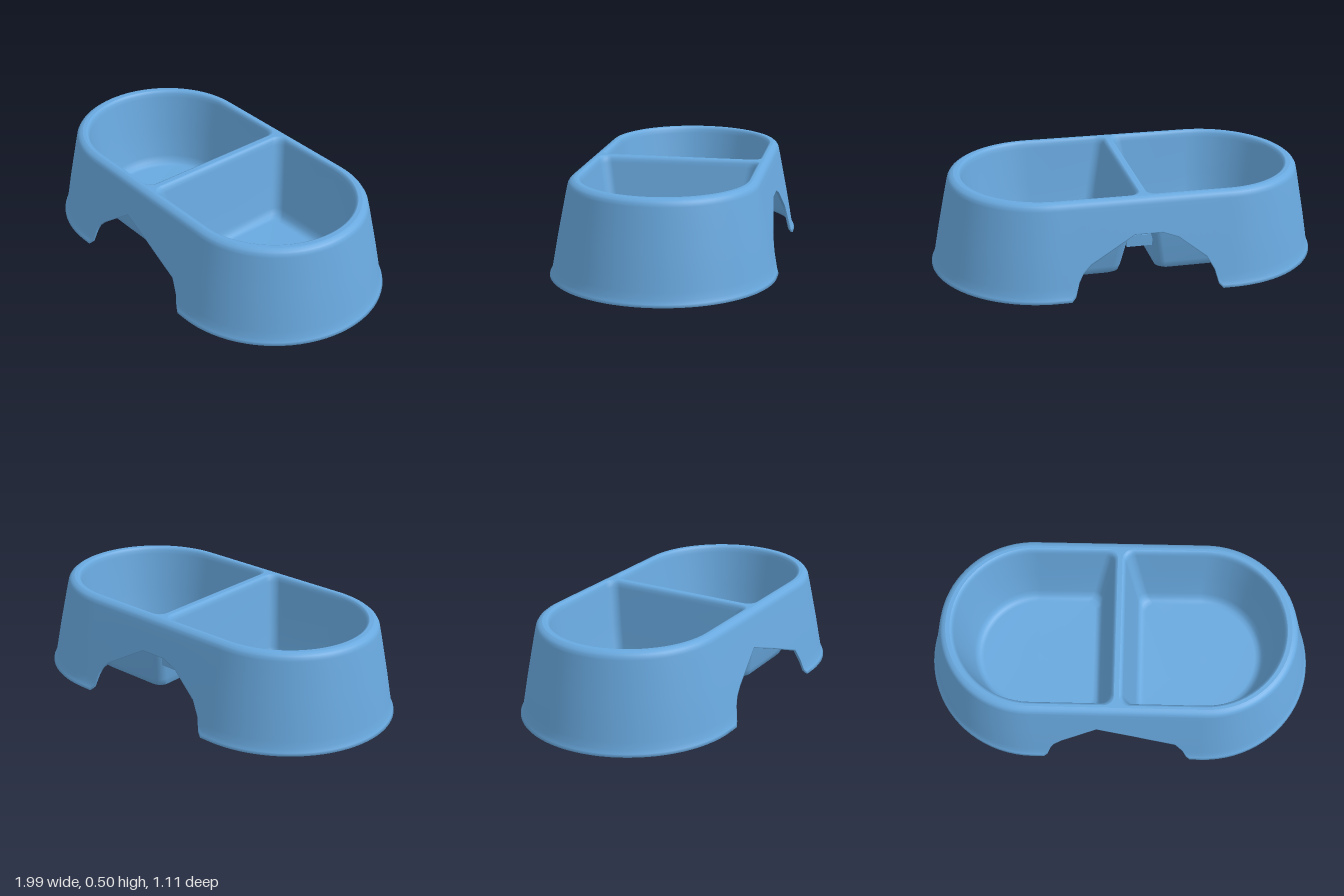
import * as THREE from 'three';

const blue = new THREE.MeshStandardMaterial({ color: 0x68a8de, side: THREE.DoubleSide });
blue.name = 'blue plastic';

// Piecewise linear lookup in [[x, y], ...]
function lookup(points, x) {
  if (x <= points[0][0]) return points[0][1];
  for (let i = 1; i < points.length; i++) {
    const [x0, y0] = points[i - 1], [x1, y1] = points[i];
    if (x <= x1) return y0 + (y1 - y0) * (x - x0) / (x1 - x0);
  }
  return points[points.length - 1][1];
}

// Joins closed rings of [x, y, z] points; an optional cap closes the first or last ring
function loft(rings, cap) {
  const n = rings[0].length, pos = rings.flat(2), index = [];
  for (let i = 0; i < rings.length - 1; i++) {
    for (let j = 0; j < n; j++) {
      const k = (j + 1) % n, a = i * n + j, b = i * n + k;
      index.push(a, a + n, b, b, a + n, b + n);
    }
  }
  if (cap) {
    const base = cap === 'last' ? (rings.length - 1) * n : 0;
    const ring = cap === 'last' ? rings[rings.length - 1] : rings[0];
    const centre = pos.length / 3;
    pos.push(0.43, ring[0][1], 0);
    for (let j = 0; j < n; j++) {
      const a = base + j, b = base + (j + 1) % n;
      if (cap === 'last') index.push(a, centre, b);
      else index.push(a, b, centre);
    }
  }
  const g = new THREE.BufferGeometry();
  g.setAttribute('position', new THREE.Float32BufferAttribute(pos, 3));
  g.setIndex(index);
  g.computeVertexNormals();
  return g;
}

// Skirt outline: columns of a stadium as base x plus outward direction
const HALF = 0.44, STRAIGHT = 44, ARC = 40;
const columns = [];
for (const s of [1, -1]) {
  for (let i = 0; i < ARC; i++) {
    const t = -Math.PI / 2 + Math.PI * i / ARC;
    columns.push({ x: s * HALF, dx: s * Math.cos(t), dz: s * Math.sin(t) });
  }
  for (let i = 0; i < STRAIGHT; i++) {
    columns.push({ x: s * (HALF - 2 * HALF * i / STRAIGHT), dx: 0, dz: s });
  }
}

// Skirt radius by height, and lower edge of the front and back arches by x
const profile = [[0, 0.557], [0.03, 0.543], [0.2, 0.512], [0.42, 0.468], [0.45, 0.461],
  [0.463, 0.453], [0.471, 0.443], [0.475, 0.43]];
const frontArch = [[-0.38, 0], [-0.36, 0.02], [-0.34, 0.09], [-0.32, 0.13], [-0.28, 0.17],
  [-0.1, 0.3], [0.08, 0.235], [0.3, 0.15], [0.34, 0.08], [0.36, 0.02], [0.38, 0]];
const backArch = [[-0.38, 0], [-0.36, 0.02], [-0.34, 0.09], [-0.3, 0.16], [-0.16, 0.27],
  [-0.08, 0.3], [0.06, 0.3], [0.28, 0.17], [0.32, 0.13], [0.34, 0.09], [0.36, 0.02], [0.38, 0]];

function skirtRing(heightAt, inset) {
  return columns.map((c) => {
    const arch = c.dx !== 0 ? 0 : lookup(c.dz > 0 ? frontArch : backArch, c.x);
    const y = heightAt(arch), r = lookup(profile, y) - inset;
    return [c.x + c.dx * r, y, c.dz * r];
  });
}

// D-shaped ring: small corners beside the divider, a half circle at the outer end
function bowlRing([y, r, x0]) {
  const cx = 0.43, c = 0.05, ring = [];
  const arc = (px, pz, rad, from, to, n) => {
    for (let i = 0; i <= n; i++) {
      const t = from + (to - from) * i / n;
      ring.push([px + rad * Math.cos(t), y, pz + rad * Math.sin(t)]);
    }
  };
  arc(cx, 0, r, -Math.PI / 2, Math.PI / 2, 36);
  arc(x0 + c, r - c, c, Math.PI / 2, Math.PI, 6);
  arc(x0 + c, c - r, c, Math.PI, Math.PI * 1.5, 6);
  return ring;
}

export function createModel() {
  const model = new THREE.Group();
  model.name = 'doubleBowl';
  const add = (geometry, name, parent = model) => {
    const mesh = new THREE.Mesh(geometry, blue);
    mesh.name = name;
    parent.add(mesh);
    return mesh;
  };

  // Flared skirt: down the inside, round the lower edge, up the outside to the lip
  const steps = [0, 0.03, 0.07, 0.15, 0.3, 0.45, 0.6, 0.75, 0.9, 1];
  const wall = (t) => (arch) => arch + (0.44 - arch) * t;
  const skirt = [
    ...[...steps].reverse().map((t) => skirtRing(wall(t), 0.012)),
    ...steps.map((t) => skirtRing(wall(t), 0)),
    ...[0.45, 0.458, 0.463, 0.471, 0.475].map((y) => skirtRing(() => y, 0)),
  ];
  add(loft(skirt), 'skirt');

  // Bowl sections as [height, half width, distance of the flat side from the centre]
  const inside = [[0.475, 0.418, 0.012], [0.472, 0.411, 0.02], [0.46, 0.404, 0.028],
    [0.44, 0.4, 0.032], [0.25, 0.368, 0.065], [0.1, 0.338, 0.092], [0.07, 0.326, 0.1],
    [0.055, 0.31, 0.115], [0.05, 0.29, 0.135]].map(bowlRing);
  const outside = [[0.02, 0.29, 0.135], [0.022, 0.315, 0.108], [0.035, 0.335, 0.094],
    [0.07, 0.348, 0.085], [0.25, 0.385, 0.05], [0.455, 0.42, 0.015]].map(bowlRing);
  for (const side of ['left', 'right']) {
    const bowl = new THREE.Group();
    bowl.name = side + 'Bowl';
    add(loft(inside, 'last'), 'bowlInside', bowl);
    add(loft(outside, 'first'), 'bowlUnderside', bowl);
    if (side === 'right') bowl.rotation.y = Math.PI;
    model.add(bowl);
  }

  // Flat top of the rim and divider, with two bowl openings
  const flat = (ring, s) => ring.map(([x, , z]) => new THREE.Vector2(s * x, -z));
  const rim = new THREE.Shape(flat(skirt[skirt.length - 1], 1));
  for (const s of [1, -1]) rim.holes.push(new THREE.Path(flat(inside[0], s)));
  add(new THREE.ShapeGeometry(rim).rotateX(-Math.PI / 2).translate(0, 0.475, 0), 'rimTop');

  // Web joining the bowls under the divider
  add(new THREE.BoxGeometry(0.13, 0.06, 0.7).translate(0, 0.2, 0), 'dividerWeb');

  // Slight lean to one side
  model.rotation.z = 0.0125;
  model.position.y = 0.0125;
  const root = new THREE.Group();
  root.name = 'petFeeder';
  root.add(model);
  return root;
}
